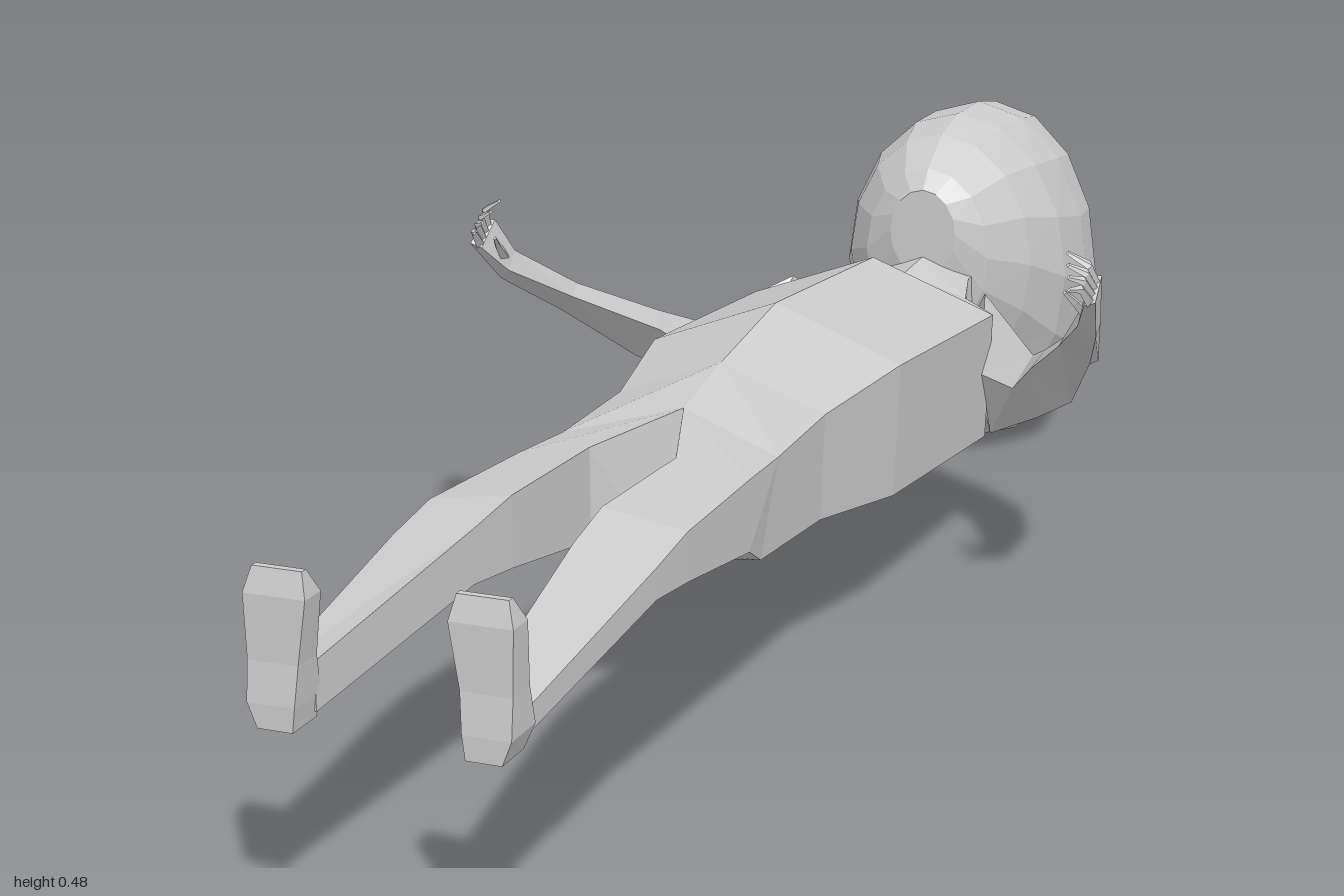
import * as THREE from 'three';

const material = new THREE.MeshStandardMaterial({ color: 0xcccccc, flatShading: true });

// Skin a list of equal-length rings of [x, y, z] points and close both ends.
function loft(name, rings, mirror = false) {
  const n = rings[0].length;
  const pos = rings.flat().flatMap(([x, y, z]) => [mirror ? -x : x, y, z]);
  const index = [];
  for (let r = 0; r < rings.length - 1; r++) {
    for (let i = 0; i < n; i++) {
      const a = r * n + i, b = r * n + (i + 1) % n;
      index.push(a, b, b + n, a, b + n, a + n);
    }
  }
  const end = (rings.length - 1) * n;
  for (let i = 1; i < n - 1; i++) {
    index.push(0, i + 1, i, end, end + i, end + i + 1);
  }
  // Turn the faces outward if the enclosed volume is negative
  const p = (i) => new THREE.Vector3().fromArray(pos, i * 3);
  let volume = 0;
  for (let i = 0; i < index.length; i += 3) {
    volume += p(index[i]).dot(p(index[i + 1]).cross(p(index[i + 2])));
  }
  if (volume < 0) index.reverse();
  const geometry = new THREE.BufferGeometry();
  geometry.setAttribute('position', new THREE.Float32BufferAttribute(pos, 3));
  geometry.setIndex(index);
  geometry.computeVertexNormals();
  const mesh = new THREE.Mesh(geometry, material);
  mesh.name = name;
  return mesh;
}

// Head: oval sections along z, [z, top, bottom, half width]
function head() {
  const sections = [
    [-1, 0.235, 0.195, 0.015], [-0.98, 0.32, 0.145, 0.07], [-0.93, 0.41, 0.055, 0.118],
    [-0.85, 0.465, 0.01, 0.15], [-0.77, 0.48, 0, 0.162], [-0.68, 0.48, 0.055, 0.155],
    [-0.61, 0.465, 0.13, 0.127], [-0.555, 0.43, 0.2, 0.085], [-0.535, 0.405, 0.29, 0.045],
  ];
  const sides = 16;
  return loft('head', sections.map(([z, top, bottom, w]) =>
    Array.from({ length: sides }, (_, i) => {
      const a = (i / sides) * Math.PI * 2;
      return [Math.sin(a) * w, (top + bottom) / 2 + Math.cos(a) * (top - bottom) / 2, z];
    })));
}

// Neck and torso: six-sided sections, [z, top, upper side, lower side, bottom, half width]
function torso() {
  const sections = [
    [-0.62, 0.32, 0.3, 0.22, 0.17, 0.08],
    [-0.54, 0.315, 0.29, 0.22, 0.185, 0.063],
    [-0.46, 0.31, 0.285, 0.18, 0.15, 0.085],
    [-0.34, 0.36, 0.3, 0.14, 0.102, 0.16],
    [0, 0.385, 0.325, 0.165, 0.13, 0.155],
    [0.17, 0.358, 0.31, 0.185, 0.157, 0.125],
  ];
  return loft('torso', sections.map(([z, top, up, low, bottom, w]) => [
    [0, top, z], [w, up, z], [w * 0.95, low, z],
    [0, bottom, z], [-w * 0.95, low, z], [-w, up, z],
  ]));
}

// Leg: four-cornered sections from the hip and crotch to the ankle
function leg(mirror) {
  const hip = [
    [[0, 0.358, 0.17], [0.125, 0.31, 0.17], [0.119, 0.185, 0.17], [0, 0.157, 0.17]],
    [[0, 0.335, 0.28], [0.127, 0.305, 0.32], [0.122, 0.2, 0.36], [0, 0.185, 0.35]],
  ];
  // [z, inner x, outer x, top, bottom]
  const shin = [
    [0.42, 0.05, 0.133, 0.325, 0.22], [0.61, 0.05, 0.143, 0.33, 0.252],
    [0.69, 0.055, 0.143, 0.318, 0.26], [0.96, 0.085, 0.132, 0.272, 0.222],
  ].map(([z, xi, xo, top, bottom]) => [
    [xi, top, z], [xo, top - 0.015, z], [xo, bottom + 0.01, z], [xi, bottom, z],
  ]);
  return loft('leg', [...hip, ...shin], mirror);
}

// Foot: upright slab, [y, inner x, outer x, instep z, sole z]
function foot(mirror) {
  const sections = [
    [0.215, 0.088, 0.125, 0.955, 1], [0.24, 0.085, 0.135, 0.95, 1],
    [0.28, 0.082, 0.135, 0.96, 0.995], [0.345, 0.072, 0.137, 0.965, 0.995],
    [0.37, 0.078, 0.13, 0.98, 0.988],
  ];
  return loft('foot', sections.map(([y, xi, xo, zi, zs]) =>
    [[xi, y, zi], [xo, y, zi], [xo, y, zs], [xi, y, zs]]), mirror);
}

// Arm: diamond sections from shoulder to wrist
function arm(mirror) {
  return loft('arm', [
    [[0.13, 0.31, -0.4], [0.085, 0.24, -0.46], [0.15, 0.135, -0.37], [0.155, 0.23, -0.31]],
    [[0.225, 0.265, -0.3], [0.2, 0.24, -0.385], [0.23, 0.182, -0.31], [0.21, 0.23, -0.265]],
    [[0.255, 0.288, -0.25], [0.28, 0.25, -0.31], [0.29, 0.225, -0.25], [0.245, 0.27, -0.225]],
    [[0.32, 0.345, -0.14], [0.34, 0.3, -0.185], [0.342, 0.308, -0.14], [0.312, 0.335, -0.11]],
    [[0.358, 0.405, -0.045], [0.374, 0.38, -0.065], [0.376, 0.37, -0.04], [0.358, 0.385, -0.025]],
  ], mirror);
}

// Hand: small palm with four fingers and a thumb
function hand(mirror) {
  const group = new THREE.Group();
  group.name = 'hand';
  group.add(loft('palm', [
    [[0.358, 0.405, -0.045], [0.374, 0.38, -0.065], [0.376, 0.37, -0.04], [0.358, 0.385, -0.025]],
    [[0.372, 0.448, -0.02], [0.386, 0.448, -0.022], [0.389, 0.425, 0.014], [0.375, 0.42, 0.012]],
  ], mirror));
  const bar = (name, points) => loft(name, points.map(([x, y, z], i) => {
    const r = 0.006 - i * 0.002;
    return [[x - r, y, z], [x, y + r, z - r], [x + r, y, z], [x, y - r, z + r]];
  }), mirror);
  for (let i = 0; i < 4; i++) {
    const t = i / 3;
    group.add(bar('finger', [
      [0.38, 0.443 - 0.018 * t, -0.014 + 0.022 * t],
      [0.376, 0.464 - 0.02 * t, -0.002 + 0.032 * t],
      [0.353 + 0.014 * t, 0.478 - 0.032 * t, 0.006 + 0.04 * t],
    ]));
  }
  group.add(bar('thumb', [[0.365, 0.4, -0.03], [0.36, 0.42, -0.002], [0.354, 0.435, 0.018]]));
  return group;
}

export function createModel() {
  const model = new THREE.Group();
  model.name = 'lyingFigure';
  model.add(head(), torso());
  for (const mirror of [false, true]) {
    const side = new THREE.Group();
    side.name = mirror ? 'rightLimbs' : 'leftLimbs';
    side.add(arm(mirror), hand(mirror), leg(mirror), foot(mirror));
    model.add(side);
  }
  return model;
}
